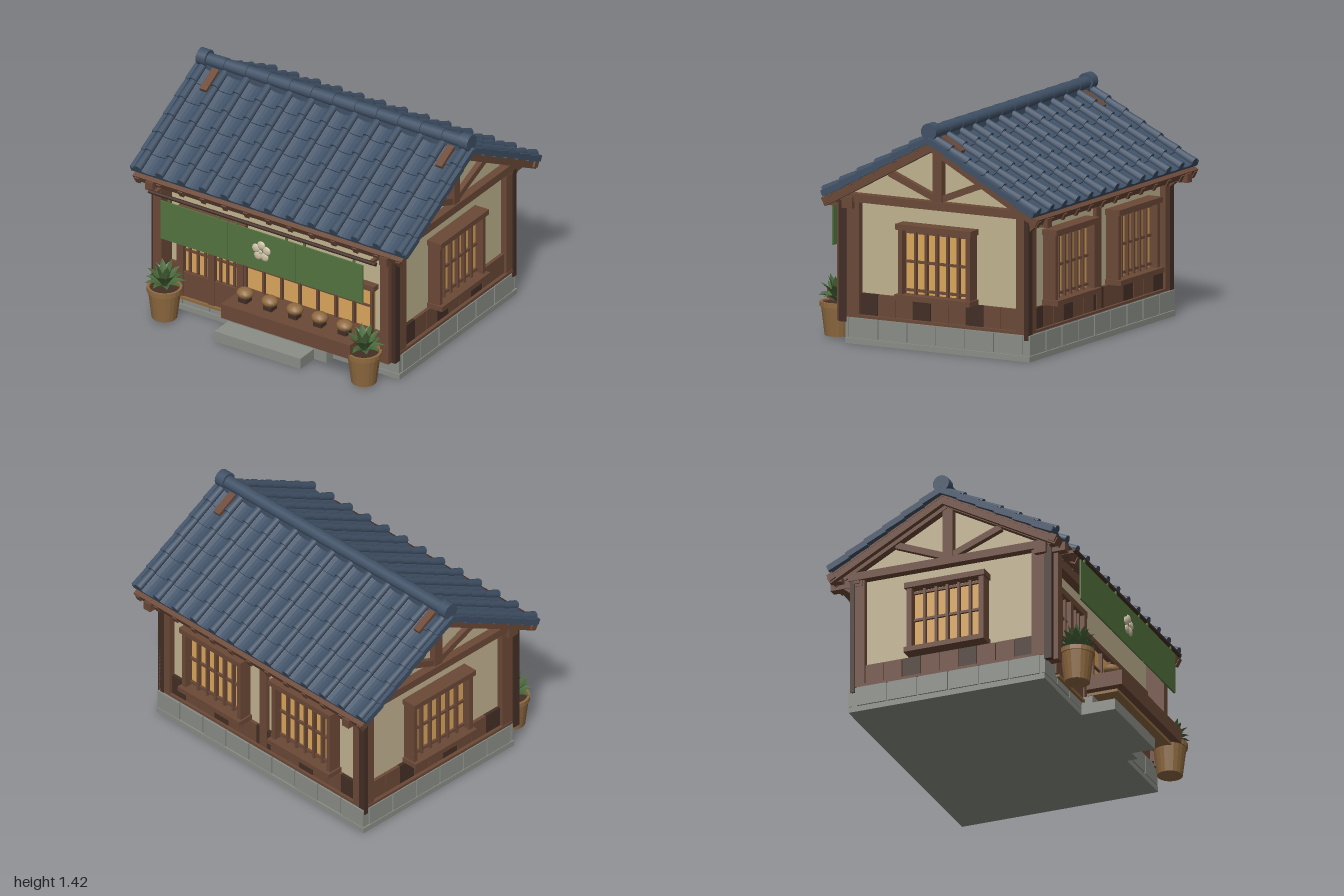
import * as THREE from 'three';

const mat = (name, color, side = THREE.FrontSide) => {
  const m = new THREE.MeshStandardMaterial({ color, side });
  m.name = name;
  return m;
};

export function createModel() {
  const M = {
    tile: mat('slate blue tile', 0x405166),
    wood: mat('brown timber', 0x6b4937),
    dark: mat('dark timber', 0x432e25),
    wall: mat('cream plaster', 0xc2b491),
    glass: mat('amber paper', 0xdba75c),
    stone: mat('grey stone', 0x8b8e87),
    cloth: mat('green cloth', 0x537440, THREE.DoubleSide),
    clay: mat('clay', 0x8f6a40),
    leaf: mat('leaf green', 0x4b6b3c, THREE.DoubleSide),
    petal: mat('pale petal', 0xcfc2a8),
  };
  const root = new THREE.Group();
  root.name = 'shop';
  const group = (name, parent = root) => {
    const g = new THREE.Group();
    g.name = name;
    parent.add(g);
    return g;
  };
  const add = (parent, name, geo, m, x = 0, y = 0, z = 0) => {
    const mesh = new THREE.Mesh(geo, m);
    mesh.name = name;
    mesh.position.set(x, y, z);
    parent.add(mesh);
    return mesh;
  };
  const box = (p, name, m, x0, x1, y0, y1, z0, z1) =>
    add(p, name, new THREE.BoxGeometry(x1 - x0, y1 - y0, z1 - z0), m, (x0 + x1) / 2, (y0 + y1) / 2, (z0 + z1) / 2);
  // Timber between two (z, y) points in the plane of a gable
  const brace = (p, name, x, w, h, z0, y0, z1, y1) => {
    const b = add(p, name, new THREE.BoxGeometry(w, h, Math.hypot(z1 - z0, y1 - y0)), M.wood, x, (y0 + y1) / 2, (z0 + z1) / 2);
    b.rotation.x = -Math.atan2(y1 - y0, z1 - z0);
  };

  // Foundation with a facing of stone blocks, and two entrance steps
  const base = group('foundation');
  box(base, 'foundationCore', M.stone, -0.87, 0.87, 0, 0.165, -0.7, 0.56);
  box(base, 'foundationFoot', M.stone, -0.88, 0.88, 0, 0.035, -0.71, 0.57);
  for (let i = 0; i < 9; i++) {
    const x = -0.88 + i * 0.1956, low = i % 2 ? 0.045 : 0.04;
    for (const z of [-0.71, 0.55]) box(base, 'stoneBlock', M.stone, x + 0.004, x + 0.19, low, 0.16, z, z + 0.02);
  }
  for (let i = 0; i < 6; i++) {
    const z = -0.66 + i * 0.2;
    for (const x of [-0.88, 0.86]) box(base, 'stoneBlock', M.stone, x, x + 0.02, 0.04, 0.16, z + 0.004, z + 0.194);
  }
  box(base, 'lowerStep', M.stone, -0.31, 0.31, 0, 0.07, 0.56, 0.79);
  box(base, 'upperStep', M.stone, -0.3, 0.4, 0, 0.12, 0.56, 0.64);

  // Plaster walls and gables
  const walls = group('walls');
  box(walls, 'wallCore', M.wall, -0.83, 0.83, 0.16, 0.9, -0.66, 0.53);
  const gable = new THREE.Shape([[-0.66, 0.88], [0.53, 0.88], [0.53, 0.93], [-0.065, 1.27], [-0.66, 0.93]].map(([z, y]) => new THREE.Vector2(-z, y)));
  const gableGeo = new THREE.ExtrudeGeometry(gable, { depth: 1.66, bevelEnabled: false });
  gableGeo.rotateY(Math.PI / 2);
  add(walls, 'gables', gableGeo, M.wall, -0.83);

  // Corner posts, beams and gable trusses
  const frame = group('timberFrame');
  for (const s of [-1, 1]) {
    const pair = (name, m, a, b, ...r) => box(frame, name, m, Math.min(s * a, s * b), Math.max(s * a, s * b), ...r);
    pair('frontCornerPost', M.wood, 0.79, 0.87, 0.165, 0.9, 0.48, 0.58);
    pair('frontTrimPost', M.wood, 0.79, 0.85, 0.13, 0.87, 0.58, 0.645);
    pair('cornerStrip', M.dark, 0.845, 0.88, 0.13, 0.87, 0.565, 0.615);
    pair('backCornerPost', M.wood, 0.78, 0.87, 0.165, 0.9, -0.7, -0.61);
    pair('backStrip', M.dark, 0.83, 0.88, 0.13, 0.87, -0.7, -0.67);
    pair('sideSill', M.wood, 0.82, 0.875, 0.162, 0.18, -0.69, 0.56);
    pair('sideBeam', M.wood, 0.8, 0.885, 0.87, 0.92, -0.71, 0.57);
    pair('kingPost', M.wood, 0.82, 0.875, 0.91, 1.3, -0.097, -0.033);
    for (let i = 0; i < 9; i++) {
      const z = 0.48 - i * 0.122;
      pair('sideBoard', i % 3 ? M.wood : M.dark, 0.82, 0.852, 0.178, 0.31, z - 0.118, z);
    }
    for (const d of [-1, 1]) {
      const c = -0.065;
      brace(frame, 'trussStrut', s * 0.845, 0.04, 0.04, c + d * 0.03, 0.94, c + d * 0.34, 1.065);
      brace(frame, 'gableRafter', s * 0.855, 0.05, 0.05, c, 1.275, c + d * 0.74, 0.872);
      // Bracket arm and knee below each eave end
      const edge = d > 0 ? 0.5 : -0.62;
      brace(frame, 'eaveArm', s * 0.845, 0.055, 0.055, edge, 0.86, c + d * 0.765, 0.86);
      brace(frame, 'eaveKnee', s * 0.845, 0.045, 0.045, d > 0 ? 0.52 : -0.63, 0.77, c + d * 0.68, 0.86);
    }
  }
  box(frame, 'frontBeam', M.wood, -0.9, 0.9, 0.83, 0.9, 0.51, 0.585);
  box(frame, 'frontEavePurlin', M.wood, -0.92, 0.92, 0.862, 0.895, 0.61, 0.65);
  box(frame, 'backEavePurlin', M.wood, -0.92, 0.92, 0.862, 0.895, -0.78, -0.74);
  box(frame, 'backBeam', M.wood, -0.88, 0.88, 0.85, 0.91, -0.7, -0.64);
  box(frame, 'backSill', M.wood, -0.87, 0.87, 0.162, 0.18, -0.7, -0.64);
  box(frame, 'backMiddlePost', M.wood, -0.03, 0.03, 0.17, 0.87, -0.685, -0.65);
  for (let i = 0; i < 13; i++) {
    const x = -0.78 + i * 0.12;
    box(frame, 'backBoard', i % 3 ? M.wood : M.dark, x + 0.002, x + 0.118, 0.178, 0.31, -0.682, -0.65);
  }

  // Lattice windows: local +z points out of the wall
  const latticeWindow = (x, z, turn) => {
    const w = group('latticeWindow');
    w.position.set(x, 0, z);
    w.rotation.y = turn;
    box(w, 'windowPaper', M.glass, -0.225, 0.225, 0.33, 0.75, 0, 0.03);
    box(w, 'windowHead', M.wood, -0.262, 0.262, 0.737, 0.772, 0, 0.1);
    box(w, 'windowLedge', M.wood, -0.262, 0.262, 0.31, 0.342, 0, 0.11);
    for (const s of [-1, 1]) box(w, 'windowJamb', M.wood, s * 0.235 - 0.015, s * 0.235 + 0.015, 0.33, 0.75, 0, 0.085);
    for (let i = -2; i <= 2; i++) box(w, 'windowBar', M.wood, i * 0.074 - 0.008, i * 0.074 + 0.008, 0.34, 0.74, 0.025, 0.055);
    for (const y of [0.365, 0.54, 0.72]) box(w, 'windowCrossbar', M.wood, -0.225, 0.225, y - 0.008, y + 0.008, 0.025, 0.045);
  };
  latticeWindow(0.83, -0.065, Math.PI / 2);
  latticeWindow(-0.83, -0.065, -Math.PI / 2);
  for (const x of [-0.38, 0.38]) latticeWindow(x, -0.66, Math.PI);

  // Shopfront: sliding doors on the left, serving window on the right
  const front = group('shopfront');
  box(front, 'doorPaper', M.glass, -0.69, -0.27, 0.26, 0.68, 0.52, 0.545);
  box(front, 'doorPanel', M.wood, -0.7, -0.26, 0.1, 0.265, 0.52, 0.572);
  box(front, 'doorTrack', M.clay, -0.7, -0.26, 0.085, 0.1, 0.52, 0.59);
  box(front, 'doorHead', M.wood, -0.72, -0.24, 0.67, 0.71, 0.52, 0.58);
  for (const x of [-0.7, -0.475, -0.265]) box(front, 'doorStile', M.wood, x - 0.022, x + 0.022, 0.1, 0.7, 0.52, 0.58);
  for (const x of [-0.64, -0.585, -0.53, -0.42, -0.37, -0.32]) box(front, 'doorBar', M.wood, x - 0.007, x + 0.007, 0.26, 0.68, 0.54, 0.562);
  for (const y of [0.41, 0.54]) box(front, 'doorCrossbar', M.wood, -0.69, -0.27, y - 0.007, y + 0.007, 0.54, 0.557);
  box(front, 'servingPaper', M.glass, -0.24, 0.68, 0.26, 0.56, 0.52, 0.545);
  box(front, 'servingHead', M.wood, -0.25, 0.7, 0.55, 0.585, 0.52, 0.58);
  box(front, 'servingCrossbar', M.wood, -0.24, 0.68, 0.425, 0.437, 0.54, 0.557);
  for (let i = 0; i < 8; i++) box(front, 'servingBar', M.wood, -0.245 + i * 0.13, -0.229 + i * 0.13, 0.26, 0.56, 0.54, 0.568);
  box(front, 'panelUnderWindow', M.wood, -0.24, 0.79, 0.17, 0.27, 0.52, 0.555);
  box(front, 'panelBesideDoor', M.wood, -0.79, -0.7, 0.17, 0.3, 0.52, 0.55);
  box(front, 'counter', M.wood, -0.25, 0.68, 0.19, 0.285, 0.55, 0.81);
  box(front, 'counterRail', M.clay, -0.2, 0.66, 0.172, 0.19, 0.55, 0.76);
  for (let i = 0; i < 5; i++) {
    box(front, 'bunStand', M.dark, -0.18 + i * 0.18, -0.12 + i * 0.18, 0.285, 0.312, 0.67, 0.73);
    add(front, 'bun', new THREE.SphereGeometry(1, 12, 8), M.clay, -0.15 + i * 0.18, 0.34, 0.7).scale.set(0.055, 0.036, 0.05);
  }

  // Hanging curtain in three panels with a flower emblem
  const curtain = group('curtain');
  const rod = add(curtain, 'curtainRod', new THREE.CylinderGeometry(0.013, 0.013, 1.64, 10), M.dark, 0, 0.852, 0.735);
  rod.rotation.z = Math.PI / 2;
  for (let i = 0; i < 3; i++) {
    const x = -0.73 + i * 0.488;
    box(curtain, 'curtainPanel', M.cloth, x, x + 0.484, 0.56, 0.82, 0.736, 0.746);
    for (const t of [0.06, 0.42]) box(curtain, 'curtainLoop', M.cloth, x + t - 0.008, x + t + 0.008, 0.81, 0.85, 0.737, 0.745);
  }
  for (const x of [-0.78, 0.78]) box(curtain, 'rodBracket', M.wood, x - 0.012, x + 0.012, 0.842, 0.862, 0.58, 0.745);
  for (let i = 0; i <= 5; i++) {
    const a = Math.PI / 2 + i * Math.PI * 0.4, r = i < 5 ? 0.04 : 0;
    const p = add(curtain, 'petal', new THREE.SphereGeometry(i < 5 ? 0.029 : 0.014, 12, 8), M.petal, Math.cos(a) * r, 0.695 + Math.sin(a) * r, i < 5 ? 0.747 : 0.757);
    p.scale.z = 0.4;
  }

  // Roof: two mirrored slopes of overlapping pan tiles and round cover tiles
  const roof = group('roof');
  const rows = 6, step = 0.826 / rows, pitch = 0.157, cols = 13;
  const pan = new THREE.Shape();
  pan.moveTo(-0.995, -0.018);
  pan.lineTo(0.995, -0.018);
  pan.lineTo(0.995, 0.012);
  for (let i = 12; i > 0; i--) {
    const x = (i - 6) * pitch;
    pan.lineTo(x, 0.012);
    pan.quadraticCurveTo(x - pitch / 2, -0.02, x - pitch, 0.012);
  }
  pan.lineTo(-0.995, 0.012);
  const panGeo = new THREE.ExtrudeGeometry(pan, { depth: step + 0.012, bevelEnabled: false, curveSegments: 6 });
  const coverGeo = new THREE.CylinderGeometry(0.028, 0.023, step + 0.012, 10);
  coverGeo.rotateX(Math.PI / 2);
  for (const d of [1, -1]) {
    const side = group(d > 0 ? 'frontSlope' : 'backSlope', roof);
    side.position.set(0, 1.325, -0.065);
    side.rotation.y = d > 0 ? 0 : Math.PI;
    const slope = group('slope', side);
    slope.rotation.x = 0.499;
    for (let r = 0; r < rows; r++) {
      const row = group('tileRow', slope);
      row.position.z = r * step;
      row.rotation.x = -0.06;
      add(row, 'panTiles', panGeo, M.tile, 0, -0.008, 0);
      for (let c = 0; c < cols; c++) add(row, 'coverTile', coverGeo, M.tile, (c - 6) * pitch, 0.007, step / 2 + 0.006);
      for (const s of [-1, 1]) box(row, 'vergeTile', M.tile, s * 0.985 - 0.013, s * 0.985 + 0.013, -0.028, 0.01, 0, step + 0.008);
    }
    box(slope, 'roofBoards', M.wood, -0.96, 0.96, -0.034, -0.022, 0, 0.83);
    for (let c = 0; c < cols; c++) box(slope, 'rafter', M.wood, (c - 6) * pitch - 0.016, (c - 6) * pitch + 0.016, -0.075, -0.03, 0.02, 0.875);
    box(slope, 'eaveBoard', M.wood, -0.97, 0.97, -0.065, -0.02, 0.825, 0.868);
    // Truss ends showing through the tiles close to the ridge
    for (const s of [-1, 1]) box(slope, 'trussEnd', M.wood, s * 0.85 - 0.025, s * 0.85 + 0.025, -0.03, 0.016, 0.02, 0.185);
  }
  const ridge = group('ridge', roof);
  box(ridge, 'ridgeBase', M.tile, -0.95, 0.95, 1.29, 1.35, -0.095, -0.035);
  for (let i = 0; i < 12; i++) {
    const t = add(ridge, 'ridgeTile', new THREE.CylinderGeometry(0.039, 0.042, 0.155, 14), M.tile, (i - 5.5) * pitch, 1.36, -0.065);
    t.rotation.z = Math.PI / 2;
  }
  for (const s of [-1, 1]) {
    const e = add(ridge, 'ridgeEnd', new THREE.CylinderGeometry(0.053, 0.053, 0.065, 18), M.tile, s * 0.947, 1.365, -0.065);
    e.rotation.z = Math.PI / 2;
  }

  // Potted plants with rosettes of arching leaves
  const potProfile = [[0, 0.012], [0.078, 0.012], [0.1, 0.19], [0.108, 0.19], [0.108, 0.22], [0.092, 0.22], [0.09, 0.2]].map(([x, y]) => new THREE.Vector2(x, y));
  const leafGeo = (len, rise, droop) => {
    const g = new THREE.PlaneGeometry(1, 1, 2, 4);
    const p = g.attributes.position;
    for (let i = 0; i < p.count; i++) {
      const t = p.getY(i) + 0.5, u = p.getX(i);
      const w = 0.052 * Math.sin(Math.PI * (0.15 + 0.85 * t)) + 0.001;
      p.setXYZ(i, u * w, rise * t - droop * t * t + Math.abs(u) * w * 0.4, len * t);
    }
    g.computeVertexNormals();
    return g;
  };
  for (const s of [-1, 1]) {
    const plant = group('pottedPlant');
    plant.position.set(s * 0.72, 0, 0.715);
    const potGeo = new THREE.LatheGeometry(potProfile, 20).toNonIndexed();
    potGeo.computeVertexNormals();
    add(plant, 'pot', potGeo, M.clay);
    add(plant, 'soil', new THREE.CylinderGeometry(0.092, 0.09, 0.01, 16), M.dark, 0, 0.205, 0);
    [[9, 0.125, 0.12, 0.07], [8, 0.105, 0.17, 0.05], [6, 0.06, 0.19, 0.02]].forEach(([n, len, rise, droop], ring) => {
      const geo = leafGeo(len, rise, droop);
      for (let i = 0; i < n; i++) add(plant, 'leaf', geo, M.leaf, 0, 0.21, 0).rotation.y = (i + ring * 0.4) / n * Math.PI * 2;
    });
  }
  return root;
}
